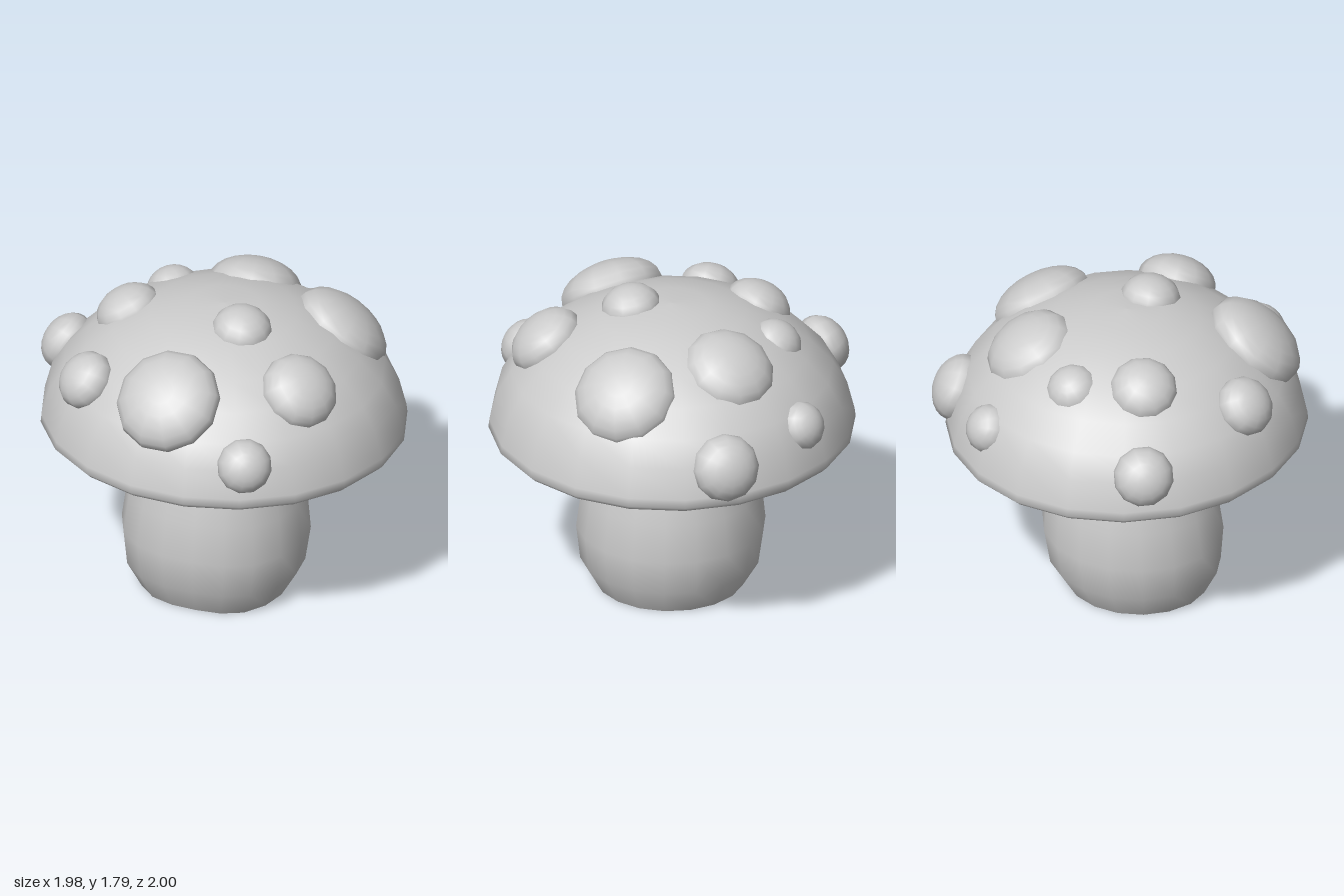
import * as THREE from 'three';

const material = new THREE.MeshStandardMaterial({ color: 0xcccccc, side: THREE.DoubleSide });

// Turned part whose vertices are then shifted by a rule
function turned(name, profile, sides, rule) {
  const geometry = new THREE.LatheGeometry(profile.map(([r, y]) => new THREE.Vector2(r, y)), sides);
  const pos = geometry.attributes.position;
  const v = new THREE.Vector3();
  for (let i = 0; i < pos.count; i++) {
    rule(v.fromBufferAttribute(pos, i));
    pos.setXYZ(i, v.x, v.y, v.z);
  }
  const mesh = new THREE.Mesh(geometry, material);
  mesh.name = name;
  return mesh;
}

// The stem leans slightly as it rises and is flatter on its front right
function lean(v) {
  const t = v.y / 1.22;
  const flat = 0.12 * Math.max(0, Math.min(-v.x, v.z));
  v.x += flat - 0.066 + 0.044 * t;
  v.z += 0.028 * (1 - t) - flat;
}

// The cap is a little out of round, and its rim dips to one side
function warp(v) {
  const swell = 1 + 0.02 * v.x * v.z;
  const fade = THREE.MathUtils.clamp((1.7 - v.y) / 0.7, 0, 1);
  v.x *= swell;
  v.z *= swell;
  v.y += fade * (-0.025 * v.x + 0.012 * v.z);
}

// Flattened domes set into the cap: position and radius
const SPOTS = [
  [-0.52, 1.46, 0.46, 0.29],
  [0.645, 1.445, 0.10, 0.285],
  [0.16, 1.475, 0.66, 0.215],
  [-0.25, 1.22, 0.875, 0.15],
  [0.01, 1.655, 0.225, 0.165],
  [-0.40, 1.54, -0.38, 0.185],
  [-0.06, 1.50, -0.565, 0.145],
  [0.35, 1.515, -0.40, 0.255],
  [0.775, 1.15, -0.49, 0.185],
  [0.33, 1.22, -0.80, 0.135],
  [-0.63, 1.23, -0.685, 0.165],
  [-0.805, 1.40, -0.01, 0.165],
];

// Open underneath, so each spot pokes through to the hollow as a short collar
function createSpot([x, y, z, radius]) {
  const geometry = new THREE.SphereGeometry(1, 12, 8, 0, Math.PI * 2, 0, Math.PI * 0.67);
  const spot = new THREE.Mesh(geometry, material);
  spot.name = 'capSpot';
  const normal = new THREE.Vector3(x, (y - 0.95) / 0.62, z).normalize();
  spot.position.set(x, y, z);
  spot.quaternion.setFromUnitVectors(new THREE.Vector3(0, 1, 0), normal);
  spot.scale.set(radius, 0.08 + 0.3 * radius, radius);
  return spot;
}

export function createModel() {
  const model = new THREE.Group();
  model.name = 'mushroom';

  // Bulging stem, open at the foot, with its top hidden under the cap
  model.add(turned('stem', [
    [0.405, 0], [0.49, 0.15], [0.515, 0.35], [0.49, 0.57],
    [0.44, 0.8], [0.375, 1.0], [0.28, 1.19], [0, 1.22],
  ], 18, lean));

  // Hollow cap: short inner lip, rolled rim, then the thin dome
  model.add(turned('cap', [
    [0.865, 1.17], [0.88, 1.08], [0.885, 0.99], [0.91, 0.955], [0.96, 0.955], [0.99, 0.985],
    [0.985, 1.03], [0.945, 1.19], [0.87, 1.32], [0.75, 1.45],
    [0.6, 1.56], [0.4, 1.65], [0.2, 1.695], [0, 1.705],
  ], 20, warp));

  // Raised spots
  const spots = new THREE.Group();
  spots.name = 'capSpots';
  SPOTS.forEach((spot) => spots.add(createSpot(spot)));
  model.add(spots);
  return model;
}
